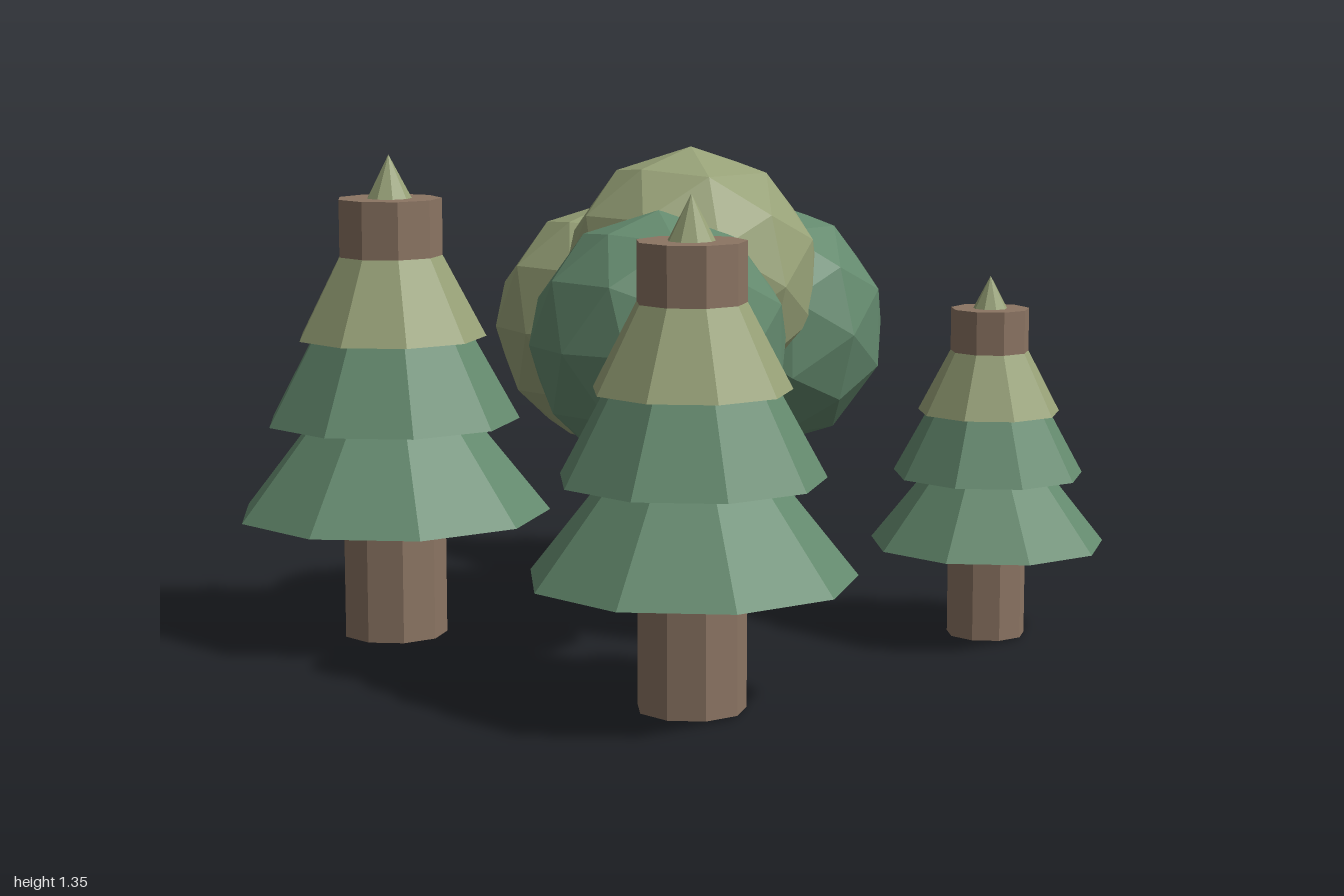
import * as THREE from 'three';

const mat = (name, color) => {
  const m = new THREE.MeshStandardMaterial({ color, flatShading: true });
  m.name = name;
  return m;
};

export function createModel() {
  const green = mat('forest green', 0x648a6e);
  const olive = mat('olive green', 0x98a278);
  const brown = mat('bark brown', 0x8c7563);
  const SIDES = 9;

  const add = (parent, name, geometry, material, x, y, z) => {
    const mesh = new THREE.Mesh(geometry, material);
    mesh.name = name;
    mesh.position.set(x, y, z);
    parent.add(mesh);
  };

  // nine-sided column or cone standing on its base, one corner towards +x
  const column = (rTop, rBottom, height) =>
    new THREE.CylinderGeometry(rTop, rBottom, height, SIDES, 1, false, Math.PI / 2)
      .translate(0, height / 2, 0);

  const model = new THREE.Group();
  model.name = 'grove';

  // conifer of unit trunk height: [name, base y, radius, height, material]
  const tiers = [
    ['lowerFoliage', 0.282, 0.358, 0.45, green],
    ['middleFoliage', 0.495, 0.29, 0.53, green],
    ['upperFoliage', 0.685, 0.216, 0.413, olive],
  ];
  const conifer = (name, x, z, height) => {
    const tree = new THREE.Group();
    tree.name = name;
    add(tree, 'trunk', column(0.119, 0.119, 1), brown, 0, 0, 0);
    for (const [part, y, r, h, m] of tiers) add(tree, part, column(0, r, h), m, 0, y, 0);
    tree.position.set(x, 0, z);
    tree.scale.setScalar(height);
    model.add(tree);
  };
  conifer('backRightConifer', -0.571, -0.578, 1.205);
  conifer('frontRightConifer', -0.571, 0.583, 1.17);
  conifer('backLeftConifer', 0.584, -0.58, 1.06);
  conifer('frontLeftConifer', 0.584, 0.58, 0.905);

  // round-crowned tree in the middle
  const broadleaf = new THREE.Group();
  broadleaf.name = 'roundTree';
  add(broadleaf, 'trunk', column(0.149, 0.149, 0.85), brown, 0.01, 0, 0);
  const crowns = [
    ['topCrown', 0.01, 0.99, 0, 0.355, olive],
    ['backCrown', 0, 0.84, -0.28, 0.345, olive],
    ['leftCrown', 0.29, 0.835, 0, 0.347, green],
    ['rightCrown', -0.25, 0.85, 0.14, 0.347, green],
  ];
  for (const [name, x, y, z, r, m] of crowns) {
    add(broadleaf, name, new THREE.IcosahedronGeometry(r, 1), m, x, y, z);
  }
  model.add(broadleaf);

  return model;
}
